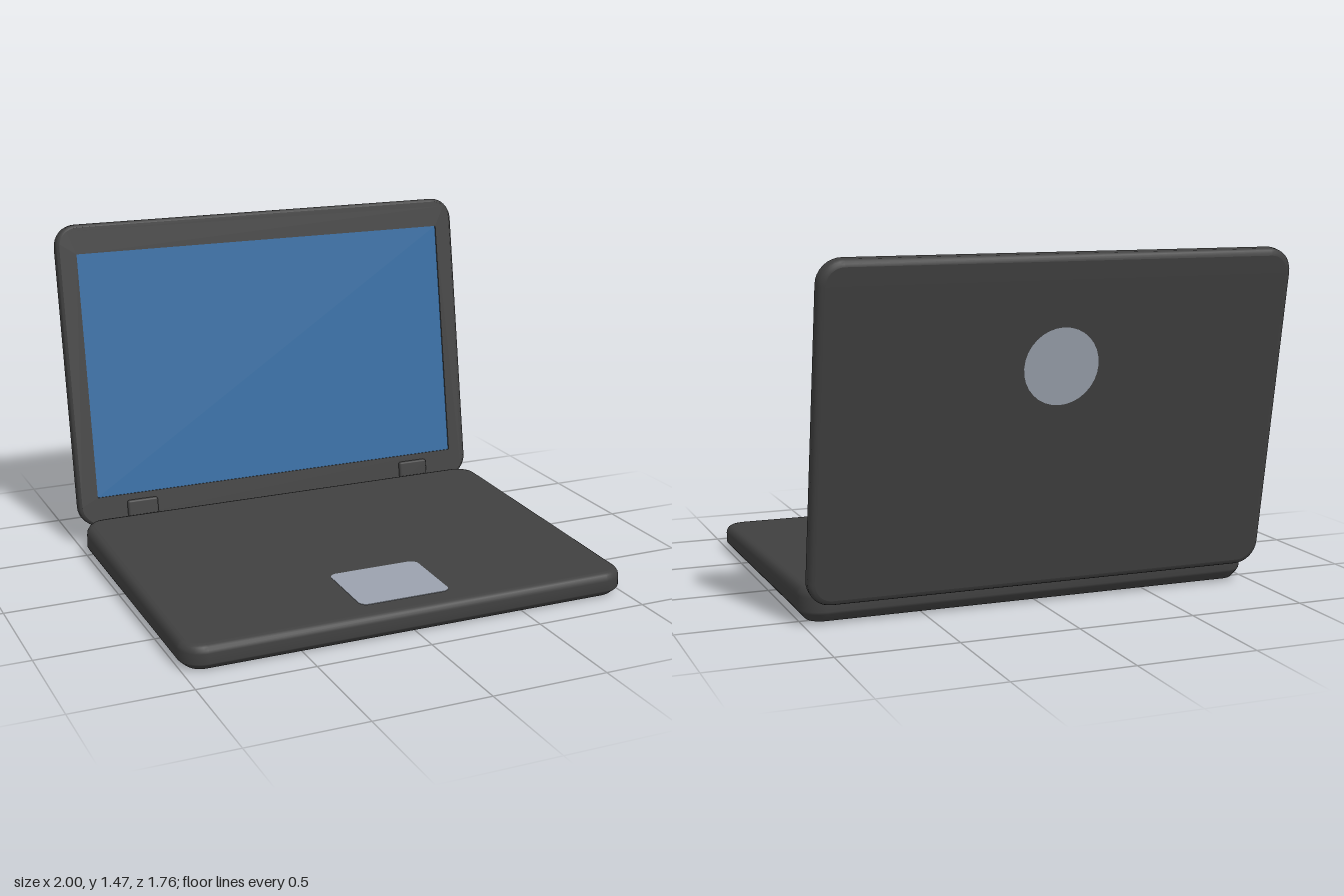
import * as THREE from 'three';
import { RoundedBoxGeometry } from 'three/addons/geometries/RoundedBoxGeometry.js';

const casing = new THREE.MeshStandardMaterial({ color: 0x404040 });
casing.name = 'charcoal casing';
const display = new THREE.MeshStandardMaterial({ color: 0x336ba0 });
display.name = 'display blue';
const silver = new THREE.MeshStandardMaterial({ color: 0x9aa1ad });
silver.name = 'silver grey';

// Counter-clockwise rounded rectangle centred on the origin
function outline(w, h, r, seg = 8) {
  const pts = [];
  const corners = [[1, 1], [-1, 1], [-1, -1], [1, -1]];
  corners.forEach(([sx, sy], c) => {
    for (let i = 0; i <= seg; i++) {
      const a = (c + i / seg) * Math.PI / 2;
      pts.push(new THREE.Vector2(sx * (w / 2 - r) + r * Math.cos(a), sy * (h / 2 - r) + r * Math.sin(a)));
    }
  });
  return pts;
}

// Slab lofted along z through rounded rectangles, rings = [z, inset]
function slab(w, h, r, rings, frontCap = true) {
  const pos = [], idx = [];
  const addRing = ([z, inset]) => {
    const start = pos.length / 3;
    outline(w - 2 * inset, h - 2 * inset, r - inset).forEach(p => pos.push(p.x, p.y, z));
    return start;
  };
  const starts = rings.map(addRing);
  const n = starts[1];
  for (let k = 0; k < rings.length - 1; k++) {
    for (let i = 0; i < n; i++) {
      const j = (i + 1) % n, a = starts[k], b = starts[k + 1];
      idx.push(a + i, a + j, b + j, a + i, b + j, b + i);
    }
  }
  const cap = (ring, front) => {
    const s = addRing(ring);
    for (let i = 1; i < n - 1; i++) {
      if (front) idx.push(s, s + i, s + i + 1);
      else idx.push(s, s + i + 1, s + i);
    }
  };
  cap(rings[0], false);
  if (frontCap) cap(rings[rings.length - 1], true);
  const g = new THREE.BufferGeometry();
  g.setAttribute('position', new THREE.Float32BufferAttribute(pos, 3));
  g.setIndex(idx);
  return g;
}

function add(parent, name, geometry, material, x = 0, y = 0, z = 0) {
  const mesh = new THREE.Mesh(geometry, material);
  mesh.name = name;
  mesh.position.set(x, y, z);
  parent.add(mesh);
  return mesh;
}

export function createModel() {
  const model = new THREE.Group();
  model.name = 'laptop';
  const baseZ = 0.155, baseH = 0.128, slope = 0.026;

  // Wedge base: chamfered underneath, rounded on top, taller at the back
  const baseGeo = slab(2, 1.45, 0.1, [
    [0, 0.036], [0.006, 0.029], [0.03, 0.006], [0.04, 0], [0.09, 0],
    [0.105, 0.003], [0.118, 0.011], [0.125, 0.021], [baseH, 0.034],
  ]).rotateX(-Math.PI / 2);
  const p = baseGeo.attributes.position;
  for (let i = 0; i < p.count; i++) {
    p.setY(i, p.getY(i) - slope * p.getZ(i) * p.getY(i) / baseH);
  }
  baseGeo.computeVertexNormals();
  add(model, 'base', baseGeo, casing, 0, 0, baseZ);

  // Touchpad lying on the sloping top
  const padZ = 0.602;
  const padGeo = new THREE.ExtrudeGeometry(new THREE.Shape(outline(0.41, 0.335, 0.035)), { depth: 0.004, bevelEnabled: false });
  const pad = add(model, 'touchpad', padGeo, silver, 0, baseH - slope * (padZ - baseZ) - 0.002, padZ);
  pad.rotation.x = -Math.PI / 2 + Math.atan(slope);

  // Lid group: origin at its lower front edge, leaning back
  const lid = new THREE.Group();
  lid.name = 'lid';
  lid.position.set(0, 0.098, -0.58);
  lid.rotation.x = -0.17;
  model.add(lid);
  const lidH = 1.39, thick = 0.067, edge = 0.014;

  const shellGeo = slab(2, lidH, 0.1, [
    [-thick, 0.026], [-thick + 0.003, 0.015], [-thick + 0.009, 0.006], [-thick + 0.02, 0],
    [-0.015, 0], [-0.006, 0.004], [0, edge],
  ], false);
  shellGeo.computeVertexNormals();
  add(lid, 'lidShell', shellGeo, casing, 0, lidH / 2, 0);

  // Bezel with the screen opening
  const sx = 0.91, y0 = 0.135 - lidH / 2, y1 = 1.256 - lidH / 2;
  const frame = new THREE.Shape(outline(2 - 2 * edge, lidH - 2 * edge, 0.1 - edge));
  frame.holes.push(new THREE.Path([
    new THREE.Vector2(-sx, y0), new THREE.Vector2(-sx, y1),
    new THREE.Vector2(sx, y1), new THREE.Vector2(sx, y0),
  ]));
  add(lid, 'bezel', new THREE.ExtrudeGeometry(frame, { depth: 0.008, bevelEnabled: false }), casing, 0, lidH / 2, -0.008);
  add(lid, 'screen', new THREE.PlaneGeometry(2 * sx, y1 - y0), display, 0, lidH / 2 + (y0 + y1) / 2, -0.006);

  // Plain round badge on the back
  const badge = add(lid, 'backDisc', new THREE.CircleGeometry(0.16, 32), silver, 0, 0.94, -thick - 0.002);
  badge.rotation.y = Math.PI;

  // Hinge blocks joining lid and base
  for (const side of [-1, 1]) {
    add(lid, side > 0 ? 'leftHinge' : 'rightHinge',
      new RoundedBoxGeometry(0.146, 0.1, 0.036, 2, 0.01), casing, side * 0.7, 0.055, -0.002);
  }
  return model;
}
